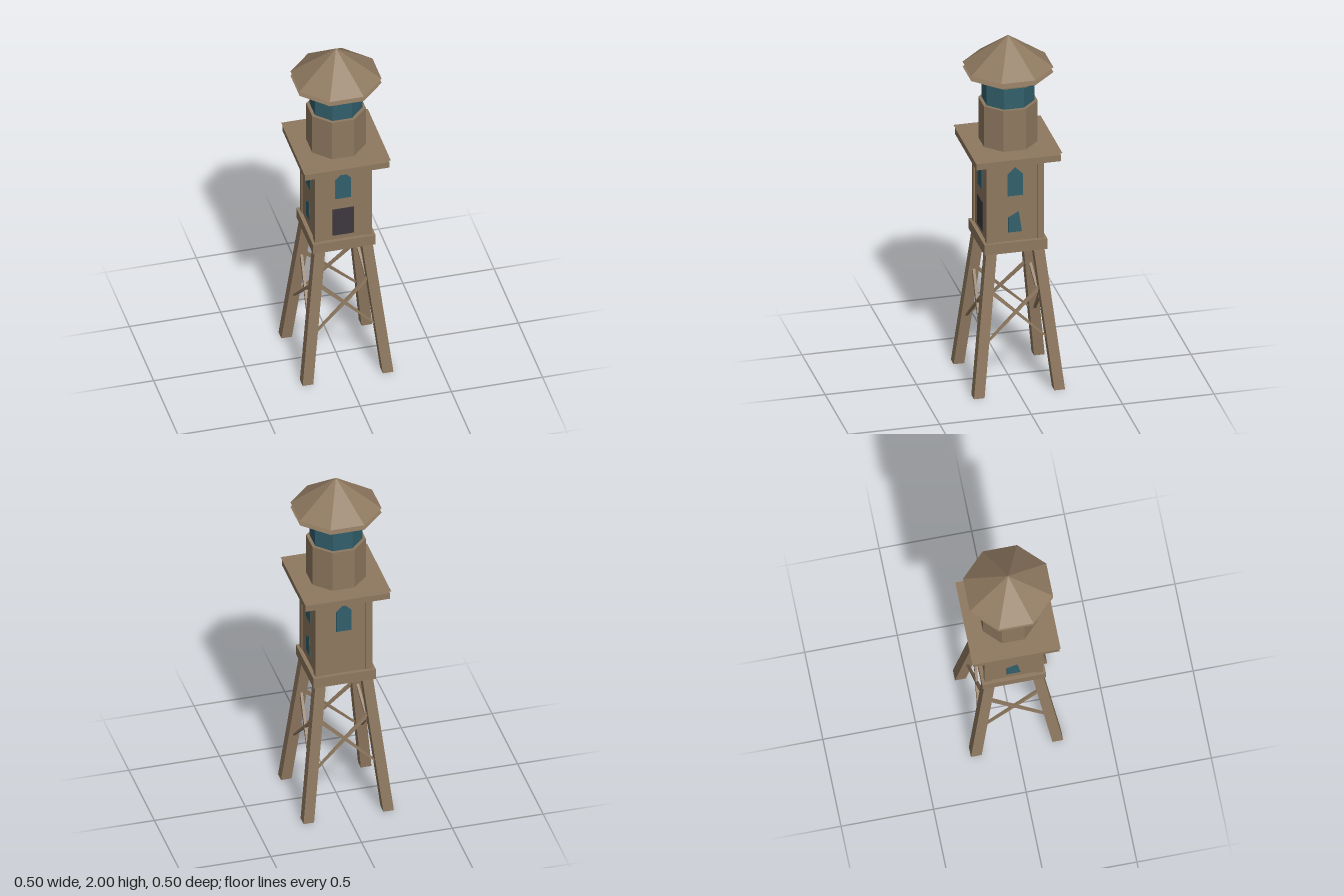
import * as THREE from 'three';

const mat = (name, color, side = THREE.FrontSide) => {
  const m = new THREE.MeshStandardMaterial({ color, side, flatShading: true });
  m.name = name;
  return m;
};

export function createModel() {
  const tower = new THREE.Group();
  tower.name = 'watchtower';
  const wood = mat('brown wood', 0x8f7960);
  const woodSheet = mat('brown wood sheet', 0x8f7960, THREE.DoubleSide);
  const glass = mat('teal glass', 0x32606c);
  const dark = mat('dark door', 0x3d383d);

  const add = (name, geo, material, parent = tower) => {
    const m = new THREE.Mesh(geo, material);
    m.name = name;
    parent.add(m);
    return m;
  };
  // Box between two heights
  const box = (name, w, y0, y1, material = wood, x = 0, z = 0) =>
    add(name, new THREE.BoxGeometry(w, y1 - y0, w), material).position.set(x, (y0 + y1) / 2, z);
  // Eight-sided drum with a flat face to the front; half is centre to face
  const drum = (name, half, y0, y1, material = wood, top = half) => {
    const k = 1 / Math.cos(Math.PI / 8);
    const g = new THREE.CylinderGeometry(top * k, half * k, y1 - y0, 8, 1, false, Math.PI / 8);
    add(name, g, material).position.y = (y0 + y1) / 2;
  };
  const plate = (points, depth) => new THREE.ExtrudeGeometry(
    new THREE.Shape(points.map(([x, y]) => new THREE.Vector2(x, y))),
    { depth, bevelEnabled: false });

  // Splayed legs: boxes sheared outward toward the ground
  const legCentre = (y) => 0.22 - 0.1125 * y;
  for (const sx of [-1, 1]) for (const sz of [-1, 1]) {
    const g = new THREE.BoxGeometry(0.058, 0.81, 0.058).translate(0, 0.405, 0);
    const p = g.attributes.position;
    for (let i = 0; i < p.count; i++) {
      const c = legCentre(p.getY(i));
      p.setX(i, p.getX(i) + sx * c);
      p.setZ(i, p.getZ(i) + sz * c);
    }
    g.computeVertexNormals();
    add('leg', g, wood);
  }

  // Tapered cross braces on each side, leaning with the legs
  for (let side = 0; side < 4; side++) {
    const braces = new THREE.Group();
    braces.name = 'crossBraces';
    braces.rotation.y = side * Math.PI / 2;
    tower.add(braces);
    for (const s of [-1, 1]) {
      const g = plate([[-0.134, 0.59], [-0.12, 0.55], [0.156, 0.295], [0.16, 0.303]]
        .map(([x, y]) => [x * s, y]), 0.014);
      const p = g.attributes.position;
      for (let i = 0; i < p.count; i++) p.setZ(i, p.getZ(i) - 0.007 + legCentre(p.getY(i)));
      g.computeVertexNormals();
      add('brace', g, wood, braces);
    }
  }

  // Cabin with slightly raised corner posts
  box('baseSlab', 0.344, 0.8, 0.86);
  box('cabinWalls', 0.302, 0.86, 1.385);
  for (const sx of [-1, 1]) for (const sz of [-1, 1])
    box('cornerPost', 0.036, 0.86, 1.385, wood, sx * 0.139, sz * 0.139);

  // Door and windows; each side is turned from the front
  const arched = [[-0.042, 1.125], [0.042, 1.125], [0.042, 1.25], [0, 1.292], [-0.042, 1.25]];
  const slanted = [[-0.037, 0.912], [0.037, 0.912], [0.02, 1.03], [-0.037, 1.0]];
  const doorway = [[-0.058, 0.887], [0.058, 0.887], [0.058, 1.057], [-0.058, 1.057]];
  const opening = (name, points, side, material) => {
    const g = plate(points, 0.006).translate(0, 0, 0.149);
    add(name, g, material).rotation.y = side * Math.PI / 2;
  };
  for (let side = 0; side < 4; side++) {
    opening('archedWindow', arched, side, glass);
    if (side % 2) opening('lowerWindow', slanted, side, glass);
  }
  opening('door', doorway, 0, dark);

  // Eaves: a board frame with a thin sheet above it
  box('eavesFrame', 0.464, 1.337, 1.373);
  const sheet = new THREE.PlaneGeometry(0.476, 0.476).rotateX(-Math.PI / 2);
  add('eavesSheet', sheet, woodSheet).position.y = 1.386;

  // Lantern room
  drum('lanternBase', 0.147, 1.385, 1.625);
  drum('lanternGlass', 0.13, 1.62, 1.76, glass);
  drum('lanternRing', 0.157, 1.757, 1.793);

  // Roof: thin eight-sided soffit below an open cone
  const k = 0.225 / Math.cos(Math.PI / 8);
  const soffit = new THREE.CircleGeometry(k, 8, Math.PI / 8).rotateX(-Math.PI / 2);
  add('roofSoffit', soffit, woodSheet).position.y = 1.797;
  const cone = new THREE.ConeGeometry(k, 0.175, 8, 1, true, Math.PI / 8);
  add('roofCone', cone, woodSheet).position.y = 1.9125;

  return tower;
}
